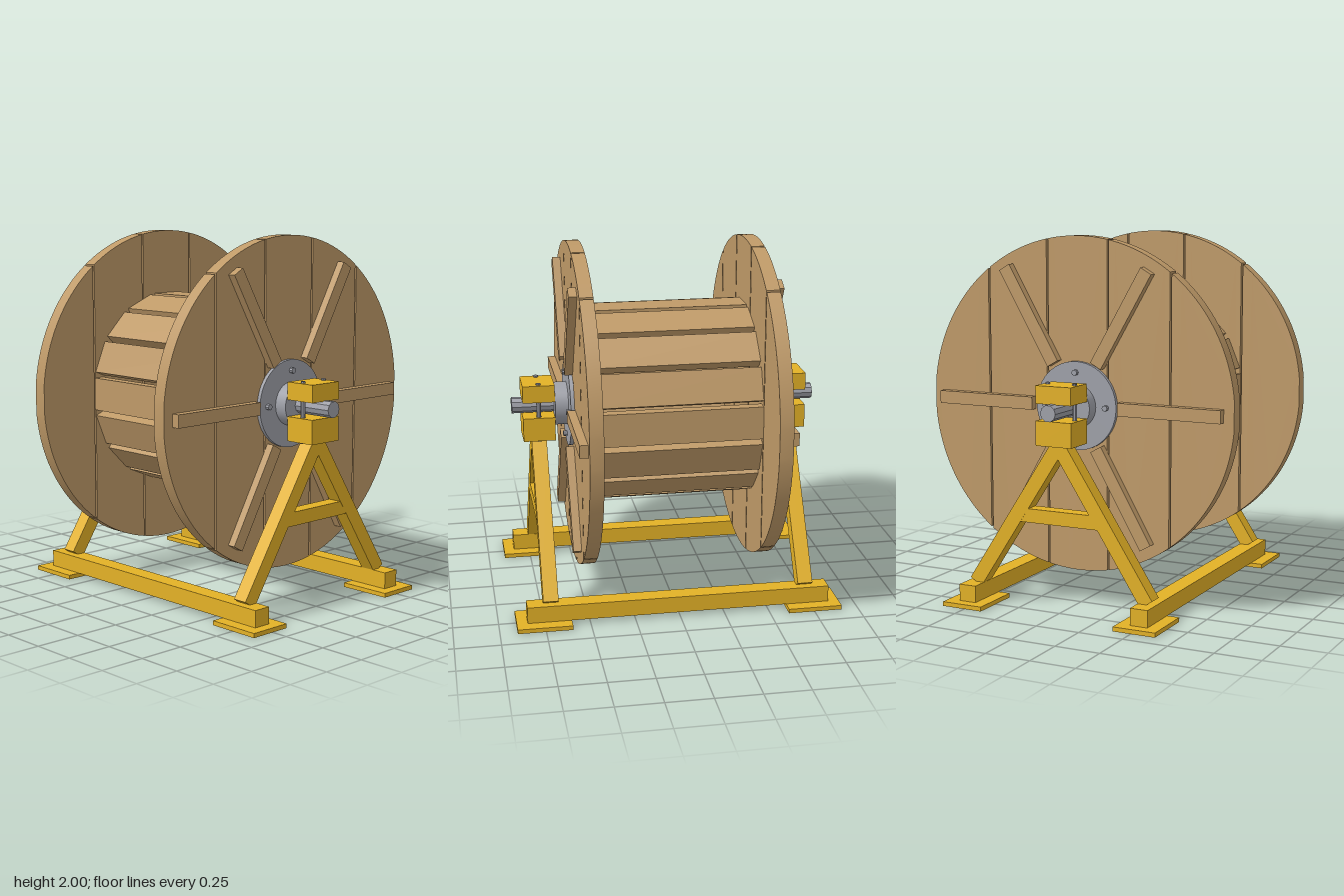
import * as THREE from 'three';
import { toCreasedNormals } from 'three/addons/utils/BufferGeometryUtils.js';

const AXLE_Y = 1.095;
const FLANGE_R = 0.906;

export function createModel() {
  const wood = new THREE.MeshStandardMaterial({ name: 'wood', color: 0xbf9a68 });
  const yellow = new THREE.MeshStandardMaterial({ name: 'yellowPaint', color: 0xe3b126 });
  const steel = new THREE.MeshStandardMaterial({ name: 'steel', color: 0x9fa1a9 });
  const steelFlat = steel.clone();
  steelFlat.name = 'steel';
  steelFlat.flatShading = true;

  const model = new THREE.Group();
  model.name = 'cableReelOnStand';

  function group(name, parent = model) {
    const g = new THREE.Group();
    g.name = name;
    parent.add(g);
    return g;
  }
  function add(parent, name, geometry, material, x = 0, y = 0, z = 0) {
    const mesh = new THREE.Mesh(geometry, material);
    mesh.name = name;
    mesh.position.set(x, y, z);
    parent.add(mesh);
    return mesh;
  }
  const box = (w, h, d) => new THREE.BoxGeometry(w, h, d);
  // Cylinder lying along x
  const rod = (r, length, sides) => new THREE.CylinderGeometry(r, r, length, sides).rotateZ(Math.PI / 2);

  // One board of a round flange: the slice of a disc between a and b
  function boardGeometry(a, b) {
    const t0 = Math.acos(Math.min(1, b / FLANGE_R));
    const t1 = Math.acos(Math.max(-1, a / FLANGE_R));
    const points = [];
    const steps = 20;
    for (const sign of [1, -1]) {
      for (let i = 0; i <= steps; i++) {
        const k = sign > 0 ? i / steps : 1 - i / steps;
        const t = t0 + (t1 - t0) * k;
        const p = new THREE.Vector2(FLANGE_R * Math.cos(t), sign * FLANGE_R * Math.sin(t));
        if (!points.some((q) => q.distanceTo(p) < 1e-5)) points.push(p);
      }
    }
    const geometry = new THREE.ExtrudeGeometry(new THREE.Shape(points), { depth: 0.075, bevelEnabled: false });
    geometry.translate(0, 0, -0.0375).rotateY(Math.PI / 2);
    return toCreasedNormals(geometry, 0.5);
  }

  // Reel drum: sixteen flat staves
  const reel = group('reel');
  reel.position.y = AXLE_Y;
  const drum = group('drum', reel);
  for (let i = 0; i < 16; i++) {
    const a = (i * Math.PI) / 8;
    const stave = add(drum, 'stave', box(0.912, 0.06, 0.182), wood, 0, 0.515 * Math.cos(a), 0.515 * Math.sin(a));
    stave.rotation.x = a;
  }
  add(reel, 'axle', rod(0.045, 1.72, 10), steelFlat);

  for (const side of [1, -1]) {
    const end = group(side > 0 ? 'leftReelEnd' : 'rightReelEnd', reel);

    // Flange of five boards with narrow gaps
    const pitch = 0.363;
    for (let i = -2; i <= 2; i++) {
      const a = Math.max(-FLANGE_R, (i - 0.5) * pitch + 0.005);
      const b = Math.min(FLANGE_R, (i + 0.5) * pitch - 0.005);
      add(end, 'flangeBoard', boardGeometry(a, b), wood, side * 0.4925);
    }

    // Six radial battens
    for (let i = 0; i < 6; i++) {
      const a = (i * Math.PI) / 3;
      const batten = add(end, 'batten', box(0.046, 0.07, 0.587), wood,
        side * 0.552, 0.5515 * Math.sin(a), 0.5515 * Math.cos(a));
      batten.rotation.x = -a;
    }

    // Hub plate, collar and bolts
    add(end, 'hubPlate', rod(0.24, 0.022, 48), steel, side * 0.54);
    add(end, 'hubCollar', rod(0.12, 0.075, 32), steel, side * 0.5865);
    for (let i = 0; i < 4; i++) {
      const a = (i * Math.PI) / 2;
      add(end, 'hubBolt', rod(0.016, 0.022, 8), steelFlat, side * 0.561, 0.181 * Math.cos(a), 0.181 * Math.sin(a));
    }
  }

  // Stand: an A-frame with a split bearing block on each side
  const stand = group('stand');
  for (const side of [1, -1]) {
    const frame = group(side > 0 ? 'leftFrame' : 'rightFrame', stand);
    frame.position.x = side * 0.714;

    add(frame, 'upperBearingBlock', box(0.178, 0.096, 0.21), yellow, 0, 1.182);
    add(frame, 'lowerBearingBlock', box(0.178, 0.133, 0.21), yellow, 0, 0.977);

    for (const front of [1, -1]) {
      add(frame, 'clampBolt', new THREE.CylinderGeometry(0.013, 0.013, 0.335, 8), steelFlat, 0, 1.0715, front * 0.08);

      // Slanted leg
      const top = new THREE.Vector3(0, 0.94, -0.019 * front);
      const foot = new THREE.Vector3(0, 0.115, 0.516 * front);
      const middle = top.clone().add(foot).multiplyScalar(0.5);
      const leg = add(frame, 'leg', box(0.084, top.distanceTo(foot), 0.08), yellow, 0, middle.y, middle.z);
      leg.rotation.x = Math.atan2(top.z - foot.z, top.y - foot.y);

      add(frame, 'footPlate', box(0.302, 0.024, 0.24), yellow, side * 0.04, 0.012, front * 0.516);
    }
    add(frame, 'crossbar', box(0.082, 0.075, 0.48), yellow, 0, 0.518);
  }

  // Base beams joining the two frames
  for (const front of [1, -1]) {
    add(stand, front > 0 ? 'frontBeam' : 'backBeam', box(1.69, 0.092, 0.1), yellow, 0, 0.07, front * 0.516);
  }

  return model;
}
